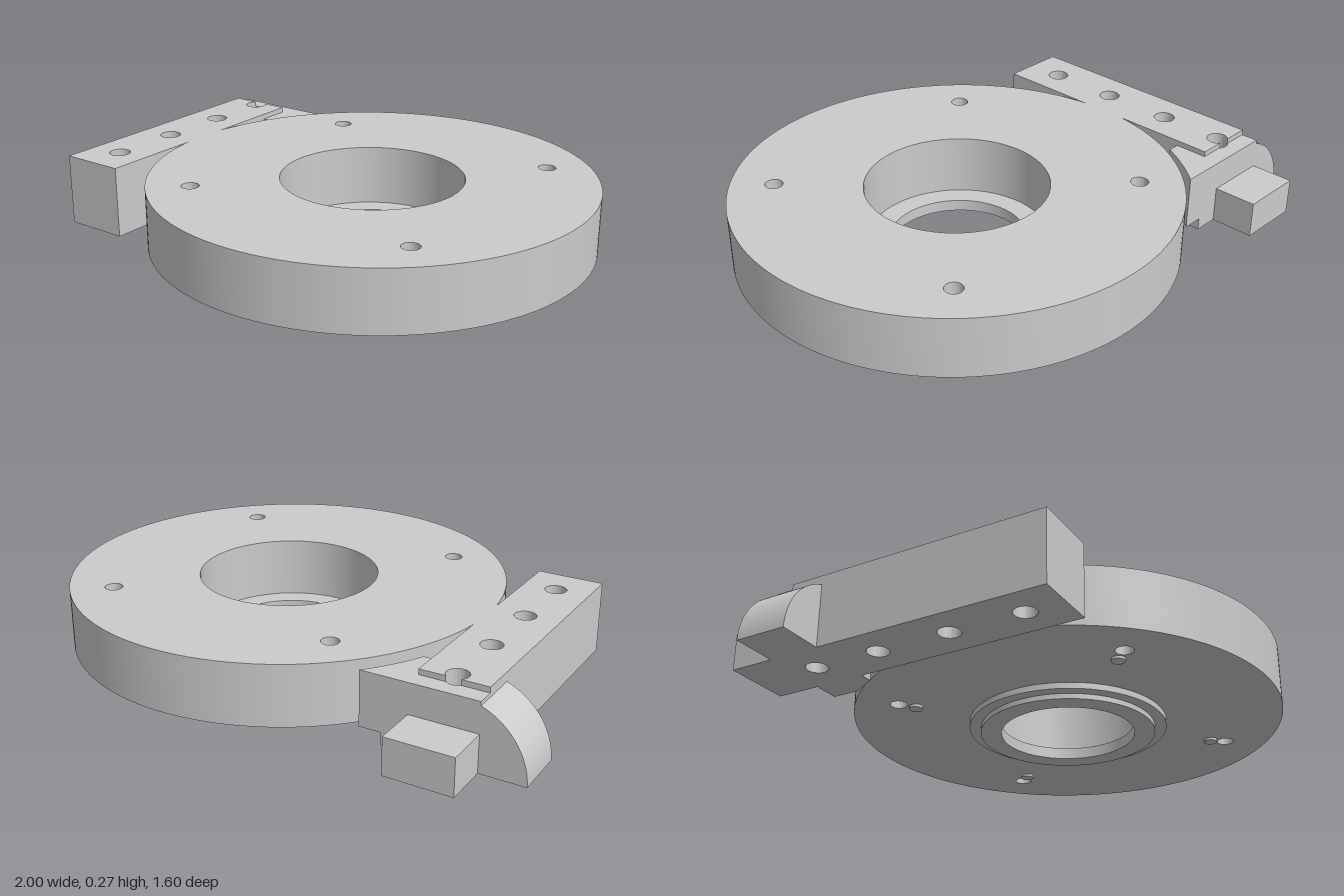
import * as THREE from 'three';
import { toCreasedNormals } from 'three/addons/utils/BufferGeometryUtils.js';

const material = new THREE.MeshStandardMaterial({ color: 0xcccccc });

// Extrude a shape with smooth curves and sharp edges
function extrude(shape, depth, curveSegments = 32) {
  const g = new THREE.ExtrudeGeometry(shape, { depth, bevelEnabled: false, curveSegments });
  return toCreasedNormals(g, 0.5);
}

// Extrude a plan shape, drawn in (x, -z), upward from y0 to y1
function slab(shape, y0, y1, segments) {
  return extrude(shape, y1 - y0, segments).rotateX(-Math.PI / 2).translate(0, y0, 0);
}

function circle(Type, x, z, r) {
  const c = new Type();
  c.absarc(x, -z, r, 0, Math.PI * 2, false);
  return c;
}

function polygon(points) {
  return new THREE.Shape(points.map(([x, z]) => new THREE.Vector2(x, -z)));
}

export function createModel() {
  const model = new THREE.Group();
  const add = (name, geometry) => {
    const mesh = new THREE.Mesh(geometry, material);
    mesh.name = name;
    model.add(mesh);
  };

  // Round plate with counterbore and four screw holes
  const cx = 0.2, R = 0.8;
  const plate = circle(THREE.Shape, cx, 0, R);
  plate.holes.push(circle(THREE.Path, cx, 0, 0.329));
  for (const sx of [-1, 1]) for (const sz of [-1, 1]) {
    plate.holes.push(circle(THREE.Path, cx + sx * 0.455, sz * 0.455, 0.032));
    // Small locating pin beside each hole
    add('locatingPin', new THREE.CylinderGeometry(0.025, 0.025, 0.012, 24)
      .translate(cx + sx * 0.41, 0.039, sz * 0.41));
  }
  add('plate', slab(plate, 0.043, 0.265, 96));

  // Stepped boss under the plate
  for (const [name, r, y0, y1] of [['upperBoss', 0.37, 0.02, 0.043], ['lowerBoss', 0.327, 0, 0.02]]) {
    const ring = circle(THREE.Shape, cx, 0, r);
    ring.holes.push(circle(THREE.Path, cx, 0, 0.25));
    add(name, slab(ring, y0, y1, 96));
  }

  // Mounting bar: long lower body with four holes
  const x0 = -0.838, x1 = -0.595, hx = -0.715, hr = 0.039, top = 0.245;
  const back = -0.555, front = -0.365;
  const holes = [-0.21, 0.065, 0.34].map(z => circle(THREE.Path, hx, z, hr));
  const bar = polygon([[x0, 0.482], [x1, 0.482], [x1, back], [x0, back]]);
  bar.holes.push(...holes, circle(THREE.Path, hx, -0.46, hr));
  add('mountingBar', slab(bar, 0, top));

  // Raised top of the bar, whose end breaks into the rearmost hole
  const end = -0.49, a = Math.asin((0.49 - 0.46) / hr);
  const cap = new THREE.Shape();
  cap.moveTo(x0, -0.482);
  cap.lineTo(x1, -0.482);
  cap.lineTo(x1, -end);
  cap.lineTo(hx + hr * Math.cos(a), -end);
  cap.absarc(hx, 0.46, hr, a, Math.PI - a, true);
  cap.lineTo(x0, -end);
  cap.holes.push(...holes);
  add('mountingBarTop', slab(cap, top, 0.265));

  // Rounded outer arm of the bracket
  const arm = new THREE.Shape();
  arm.moveTo(x0, 0);
  arm.lineTo(x0, Math.sqrt(top ** 2 - (x0 + 1 - top) ** 2));
  arm.absarc(-1 + top, 0, top, Math.acos((x0 + 1 - top) / top), Math.PI, false);
  add('roundedArm', extrude(arm, front - back).translate(0, 0, back));

  // Inner arm, cut concentric to the plate; its foot is shorter
  const innerArm = (limit) => {
    const pts = [[x1, back]];
    pts.push([x1, front]);
    for (let i = 0; i <= 16; i++) {
      const z = front + (back - front) * i / 16;
      pts.push([Math.min(limit, cx - Math.sqrt(0.833 ** 2 - z * z)), z]);
    }
    return polygon(pts);
  };
  add('innerArm', slab(innerArm(0), 0.045, top));
  add('innerArmFoot', slab(innerArm(-0.5), 0, 0.045));

  // Rear tab
  add('rearTab', new THREE.BoxGeometry(x1 - x0, 0.135, 0.163)
    .translate((x0 + x1) / 2, 0.0675, back - 0.0815));

  return model;
}
